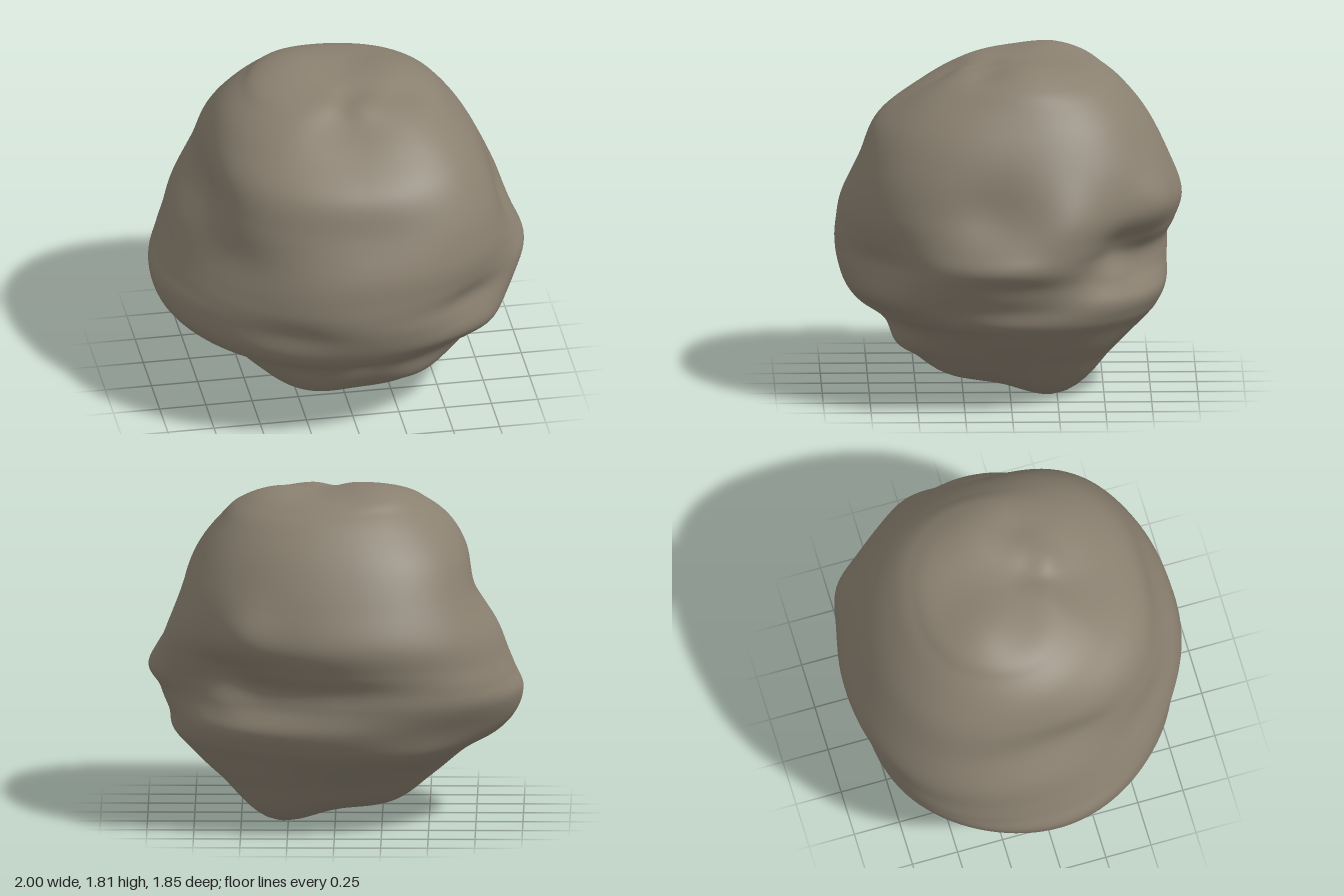
import * as THREE from 'three';
import { mergeVertices } from 'three/addons/utils/BufferGeometryUtils.js';

// Horizontal rings, top to bottom: height, then radii every 45 degrees from +x towards +z
const RINGS = [
  [1.77, 0, 0, 0, 0, 0, 0, 0, 0],
  [1.76, 0.34, 0.24, 0.15, 0.24, 0.35, 0.40, 0.38, 0.37],
  [1.70, 0.52, 0.45, 0.29, 0.41, 0.50, 0.54, 0.53, 0.55],
  [1.60, 0.62, 0.63, 0.50, 0.57, 0.62, 0.66, 0.64, 0.67],
  [1.45, 0.73, 0.79, 0.71, 0.73, 0.70, 0.78, 0.75, 0.78],
  [1.25, 0.83, 0.90, 0.80, 0.80, 0.74, 0.87, 0.85, 0.87],
  [1.05, 0.91, 0.95, 0.89, 0.83, 0.86, 0.95, 0.92, 0.90],
  [0.90, 0.97, 0.95, 0.92, 0.88, 0.92, 0.97, 0.88, 0.84],
  [0.80, 1.00, 0.94, 0.93, 0.91, 0.96, 0.98, 0.83, 0.78],
  [0.70, 0.96, 0.95, 0.92, 0.92, 1.00, 0.97, 0.83, 0.79],
  [0.58, 0.89, 0.93, 0.88, 0.91, 0.97, 0.90, 0.84, 0.86],
  [0.48, 0.87, 0.85, 0.81, 0.84, 0.88, 0.83, 0.80, 0.83],
  [0.40, 0.80, 0.73, 0.68, 0.70, 0.72, 0.73, 0.73, 0.77],
  [0.25, 0.64, 0.61, 0.56, 0.57, 0.54, 0.57, 0.55, 0.65],
  [0.10, 0.42, 0.41, 0.34, 0.36, 0.32, 0.36, 0.35, 0.45],
  [0.06, 0, 0, 0, 0, 0, 0, 0, 0],
];

// Lumps and dents: x, y, z, width, height, push outwards
const BUMPS = [
  [-0.35, 0.98, 0.82, 0.30, 0.16, 0.02],
  [-0.35, 0.68, 0.85, 0.26, 0.10, -0.025],
  [0.60, 0.75, 0.72, 0.20, 0.12, -0.035],
  [0.72, 0.62, 0.60, 0.15, 0.10, 0.02],
  [-0.22, 0.21, 0.52, 0.24, 0.09, 0.04],
  [0.30, 0.31, 0.58, 0.22, 0.08, 0.04],
  [0.05, 0.38, 0.65, 0.12, 0.09, -0.02],
  [0.45, 0.49, 0.72, 0.25, 0.07, -0.03],
  [0.95, 0.70, 0.02, 0.26, 0.06, -0.02],
  [0.86, 1.08, 0.12, 0.24, 0.20, -0.05],
  [0.88, 0.98, -0.32, 0.20, 0.25, 0.04],
  [0.47, 1.08, -0.78, 0.16, 0.16, 0.045],
  [0.62, 0.88, -0.60, 0.16, 0.09, -0.035],
  [0.60, 0.71, -0.60, 0.14, 0.07, 0.03],
  [-0.42, 0.42, -0.58, 0.32, 0.08, 0.03],
  [0.27, 0.06, -0.20, 0.20, 0.15, 0.085],
  [-0.20, 1.78, -0.20, 0.20, 0.15, 0.05],
  [0.30, 1.76, -0.10, 0.17, 0.15, 0.025],
  [0.06, 1.76, 0.13, 0.10, 0.10, -0.025],
  [0.08, 1.74, 0.25, 0.09, 0.08, 0.015],
  [0.32, 1.74, 0.12, 0.11, 0.08, -0.02],
  [-0.72, 1.27, 0.20, 0.16, 0.09, -0.01],
];

const spline = (a, b, c, d, t) =>
  b + 0.5 * t * (c - a + t * (2 * a - 5 * b + 4 * c - d + t * (3 * (b - c) + d - a)));

// Smooth value along the rings for one column
function alongRings(column, s) {
  const last = RINGS.length - 1;
  const i = Math.min(Math.floor(s), last - 1);
  const at = (k) => RINGS[Math.max(0, Math.min(last, k))][column];
  return spline(at(i - 1), at(i), at(i + 1), at(i + 2), s - i);
}

function radiusAt(angle, s) {
  const a = (angle / (Math.PI / 4) + 8) % 8;
  const i = Math.floor(a);
  const at = (k) => alongRings(1 + ((k + 8) % 8), s);
  return Math.max(0, spline(at(i - 1), at(i), at(i + 1), at(i + 2), a - i));
}

function rockGeometry() {
  let geo = new THREE.SphereGeometry(1, 128, 120);
  const pos = geo.attributes.position;
  const uv = geo.attributes.uv;
  const centre = new THREE.Vector3(0, 0.9, 0);
  const p = new THREE.Vector3();
  const out = new THREE.Vector3();
  for (let i = 0; i < pos.count; i++) {
    const s = (1 - uv.getY(i)) * (RINGS.length - 1);
    const angle = Math.atan2(pos.getZ(i), pos.getX(i));
    const r = radiusAt(angle, s);
    p.set(r * Math.cos(angle), alongRings(0, s), r * Math.sin(angle));
    out.copy(p).sub(centre).normalize();
    let push = 0;
    for (const [x, y, z, w, h, amount] of BUMPS) {
      const flat = ((p.x - x) ** 2 + (p.z - z) ** 2) / (w * w);
      push += amount * Math.exp(-flat - ((p.y - y) / h) ** 2);
    }
    p.addScaledVector(out, push);
    pos.setXYZ(i, p.x, p.y, p.z);
  }
  // Weld the seam so the shading stays smooth all round
  geo.deleteAttribute('uv');
  geo.deleteAttribute('normal');
  geo = mergeVertices(geo, 1e-5);
  // Rest the lowest lump on the ground
  geo.computeBoundingBox();
  geo.translate(0, -geo.boundingBox.min.y, 0);
  geo.computeVertexNormals();
  return geo;
}

export function createModel() {
  const group = new THREE.Group();
  group.name = 'boulder';
  const stone = new THREE.MeshStandardMaterial({ color: 0x8a8070 });
  stone.name = 'stone';
  const rock = new THREE.Mesh(rockGeometry(), stone);
  rock.name = 'rock';
  group.add(rock);
  return group;
}
